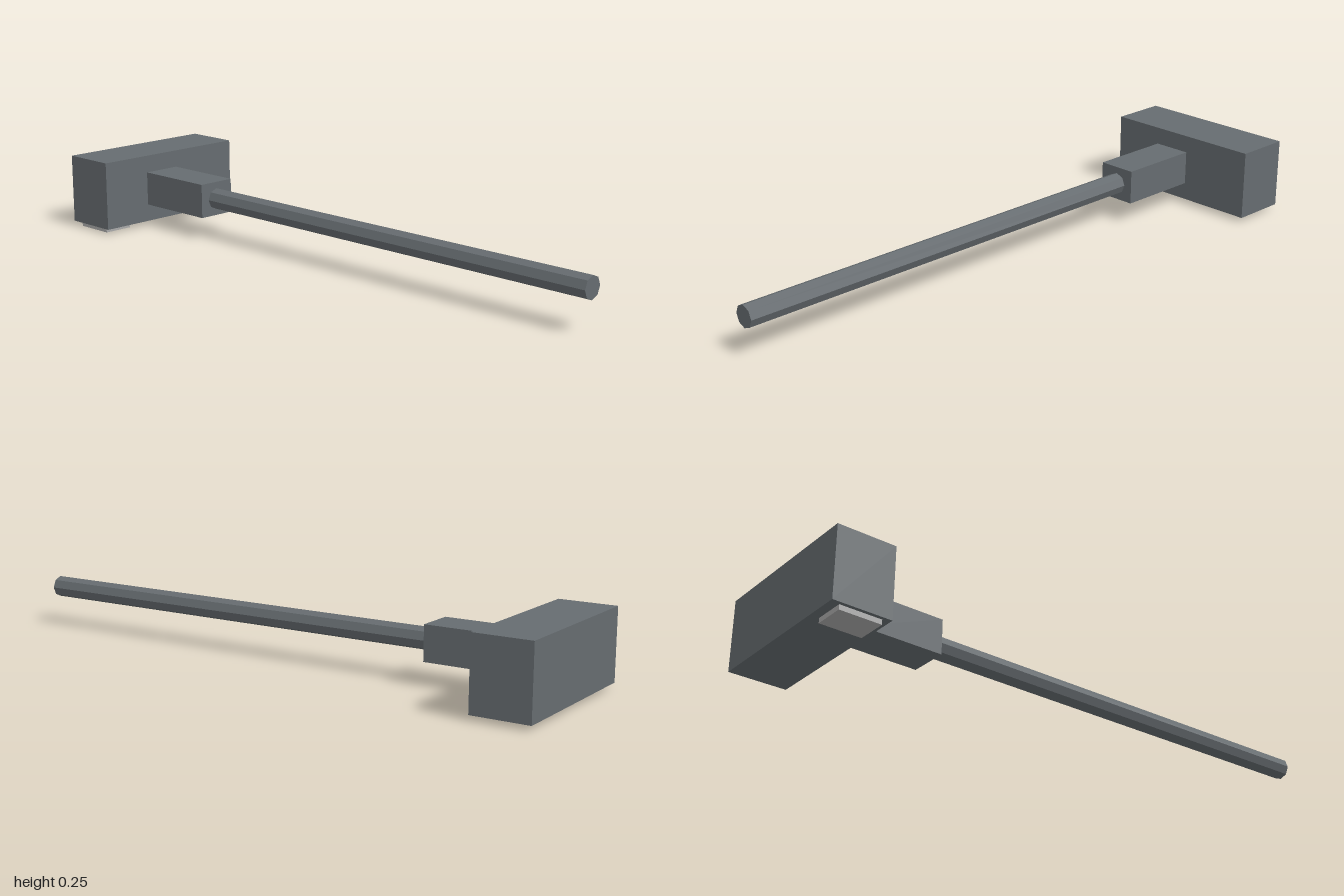
import * as THREE from 'three';

export function createModel() {
  const model = new THREE.Group();
  const darkGrey = new THREE.MeshStandardMaterial({ color: 0x666c70, flatShading: true });
  darkGrey.name = 'dark grey';
  const lightGrey = new THREE.MeshStandardMaterial({ color: 0xaaaaaa, flatShading: true });
  lightGrey.name = 'light grey';

  const add = (name, geometry, material, x, y, z) => {
    const mesh = new THREE.Mesh(geometry, material);
    mesh.name = name;
    mesh.position.set(x, y, z);
    model.add(mesh);
  };

  // Wide block across the back end
  add('head', new THREE.BoxGeometry(0.566, 0.233, 0.19), darkGrey, 0, 0.1325, -0.905);

  // Square socket joining head and shaft
  add('socket', new THREE.BoxGeometry(0.132, 0.115, 0.287), darkGrey, -0.039, 0.1325, -0.6665);

  // Eight-sided shaft running to the front
  const shaft = new THREE.CylinderGeometry(0.036, 0.036, 1.525, 8).rotateX(Math.PI / 2);
  add('shaft', shaft, darkGrey, -0.039, 0.132, 0.2375);

  // Small pad under the right end of the head
  add('pad', new THREE.BoxGeometry(0.101, 0.018, 0.136), lightGrey, -0.22, 0.009, -0.903);

  return model;
}
